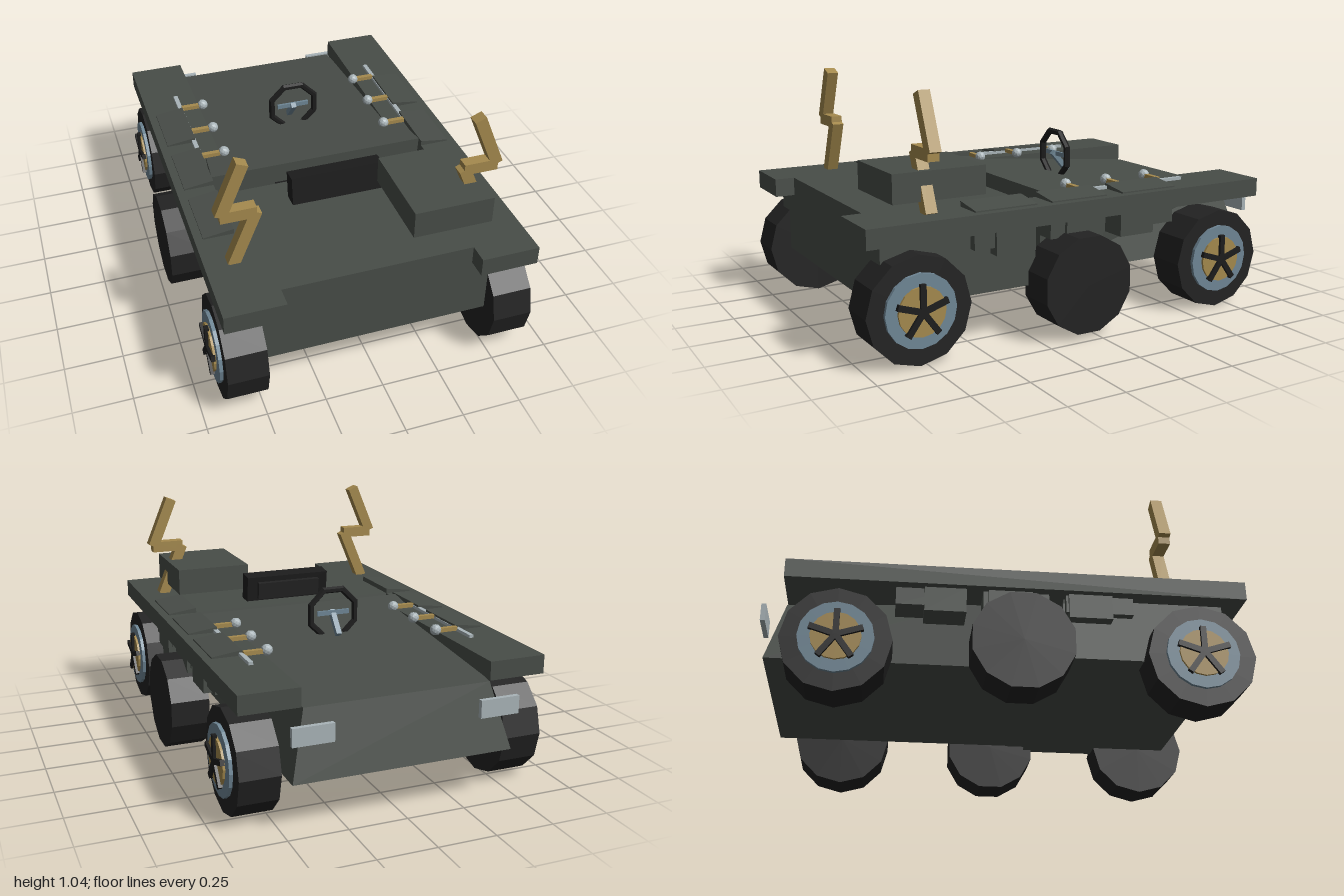
import * as THREE from 'three';

const mat = (name, color) => {
  const m = new THREE.MeshStandardMaterial({ color, flatShading: true });
  m.name = name;
  return m;
};

export function createModel() {
  const root = new THREE.Group();
  const olive = mat('bodyOlive', 0x484d48);
  const black = mat('tyreBlack', 0x232323);
  const trim = mat('trimBlack', 0x1c1c1c);
  const gold = mat('gold', 0xa58a4e);
  const steel = mat('rimSteel', 0x6f8796);
  const pale = mat('paleMetal', 0xa9b4b8);

  const add = (name, geo, m, x = 0, y = 0, z = 0, parent = root) => {
    const mesh = new THREE.Mesh(geo, m);
    mesh.name = name;
    mesh.position.set(x, y, z);
    parent.add(mesh);
    return mesh;
  };
  // Box given by its minimum and maximum corners
  const block = (name, m, [x0, x1], [y0, y1], [z0, z1], parent = root) =>
    add(name, new THREE.BoxGeometry(x1 - x0, y1 - y0, z1 - z0), m,
      (x0 + x1) / 2, (y0 + y1) / 2, (z0 + z1) / 2, parent);
  // Same box on either side of the vehicle
  const sideBlock = (name, m, s, [a, b], ys, zs) =>
    block(name, m, s > 0 ? [a, b] : [-b, -a], ys, zs);
  // Box whose corners are moved by a rule taking the corner signs
  const warpBox = (rule) => {
    const g = new THREE.BoxGeometry(2, 2, 2);
    const p = g.attributes.position;
    for (let i = 0; i < p.count; i++) p.setXYZ(i, ...rule(p.getX(i), p.getY(i), p.getZ(i)));
    g.computeVertexNormals();
    return g;
  };
  const shape = (pts) => new THREE.Shape(pts.map(([a, b]) => new THREE.Vector2(a, b)));

  // Rear hull with a sloping deck and a raked tail
  add('rearHull', warpBox((x, y, z) => y < 0
    ? [x * 0.47, 0.21, z > 0 ? 0.14 : -0.975]
    : z > 0 ? [x * 0.49, 0.585, 0.14] : [x * 0.4, 0.485, -0.905]), olive);

  // Front hull, profile drawn in z and y
  const frontGeo = new THREE.ExtrudeGeometry(
    shape([[0.215, 0.22], [0.905, 0.22], [0.905, 0.565], [0.245, 0.565], [0.215, 0.3]]),
    { depth: 1.15, bevelEnabled: false });
  frontGeo.translate(0, 0, -0.575);
  frontGeo.rotateY(-Math.PI / 2);
  add('frontHull', frontGeo, olive);
  block('cockpitFloor', olive, [-0.49, 0.49], [0.215, 0.33], [0.13, 0.23]);

  // Seat
  block('seatCushion', trim, [-0.205, 0.205], [0.4, 0.5], [0.15, 0.25]);
  const back = new THREE.Group();
  back.name = 'seatBack';
  back.position.set(0, 0.628, 0.375);
  back.rotation.x = -0.13;
  root.add(back);
  block('backrest', trim, [-0.205, 0.205], [-0.065, 0.06], [-0.037, 0.037], back);
  block('backPad', black, [-0.155, 0.155], [-0.045, 0.035], [-0.058, -0.037], back);

  // Steering wheel and column
  const ring = new THREE.TorusGeometry(0.112, 0.015, 6, 8);
  ring.rotateZ(Math.PI / 8);
  add('steeringWheel', ring, trim, 0, 0.638, -0.235);
  block('steeringSpoke', steel, [-0.075, 0.075], [0.63, 0.65], [-0.243, -0.232]);
  const column = add('steeringColumn', new THREE.BoxGeometry(0.024, 0.024, 0.12), steel, 0, 0.6, -0.262);
  column.rotation.x = -0.85;

  // Equipment box
  block('equipmentBox', olive, [0.175, 0.52], [0.61, 0.73], [0.42, 0.825]);

  // Parts repeated on both sides
  for (const s of [1, -1]) {
    // Side rail, notched beside the cockpit
    const railGeo = new THREE.ExtrudeGeometry(
      shape([[0.655, -0.9], [0.655, 0.99], [0.405, 0.99], [0.405, 0.25], [0.49, 0.25],
        [0.49, 0.12], [0.405, 0.12], [0.405, -0.9]].map(([x, z]) => [x * s, z])),
      { depth: 0.08, bevelEnabled: false });
    railGeo.rotateX(Math.PI / 2);
    add('sideRail', railGeo, olive, 0, 0.565, 0);

    // Storage bins with sloped lids
    for (const [z0, z1, b0, b1] of [[0.24, 0.52, 0.25, 0.43], [-0.1, 0.17, -0.08, 0.1], [-0.455, -0.18, -0.34, -0.17]]) {
      sideBlock('storageBin', olive, s, [0.49, 0.61], [0.41, 0.5], [z0, z1]);
      sideBlock('binLatchBox', olive, s, [0.5, 0.625], [0.38, 0.49], [b0, b1]);
      add('binLid', warpBox((x, y, z) => {
        const outer = x * s > 0;
        return [s * (outer ? 0.62 : 0.49), y < 0 ? 0.55 : outer ? 0.571 : 0.588, z < 0 ? z0 : z1];
      }), olive);
    }

    // Control rod with knobbed levers
    sideBlock('controlRod', pale, s, [0.487, 0.507], [0.563, 0.578], [-0.585, -0.05]);
    for (const z of [-0.465, -0.255, -0.045]) {
      sideBlock('leverArm', gold, s, [0.39, 0.49], [0.568, 0.586], [z - 0.011, z + 0.011]);
      add('leverKnob', new THREE.IcosahedronGeometry(0.025, 1), pale, s * 0.388, 0.58, z);
    }

    // Tail lamp
    sideBlock('tailLamp', pale, s, [0.31, 0.48], [0.372, 0.447], [-1, -0.98]);

    // Zigzag mast
    const bar = (x0, y0, x1, y1) => {
      const g = new THREE.BoxGeometry(0.05, Math.hypot(x1 - x0, y1 - y0), 0.05);
      const m = add('mastBar', g, gold, s * (x0 + x1) / 2, (y0 + y1) / 2, 0.68);
      m.rotation.z = -Math.atan2(s * (x1 - x0), y1 - y0);
    };
    bar(0.54, 0.56, 0.44, 0.8);
    bar(0.437, 0.8, 0.585, 0.8);
    bar(0.582, 0.805, 0.487, 1.032);

    // Wheels
    const disc = (name, r, x0, x1, m, y, z, sides) => {
      const g = new THREE.CylinderGeometry(r, r, x1 - x0, sides);
      g.rotateZ(Math.PI / 2);
      return add(name, g, m, s * (x0 + x1) / 2, y, z);
    };
    disc('middleTyre', 0.21, 0.55, 0.72, black, 0.227, 0.05, 12).rotation.x = Math.PI / 12;
    for (const z of [0.78, -0.68]) {
      disc('tyre', 0.221, 0.485, 0.655, black, 0.222, z, 12);
      disc('rim', 0.15, 0.65, 0.67, steel, 0.225, z, 16);
      disc('hubDisc', 0.1, 0.665, 0.68, gold, 0.225, z, 16);
      const star = new THREE.Group();
      star.name = 'wheelSpokes';
      star.position.set(s * 0.683, 0.225, z);
      root.add(star);
      for (let i = 0; i < 5; i++) {
        const g = new THREE.BoxGeometry(0.018, 0.11, 0.024);
        g.translate(0, 0.055, 0);
        add('spoke', g, trim, 0, 0, 0, star).rotation.x = i * Math.PI * 0.4;
      }
    }
  }
  return root;
}
